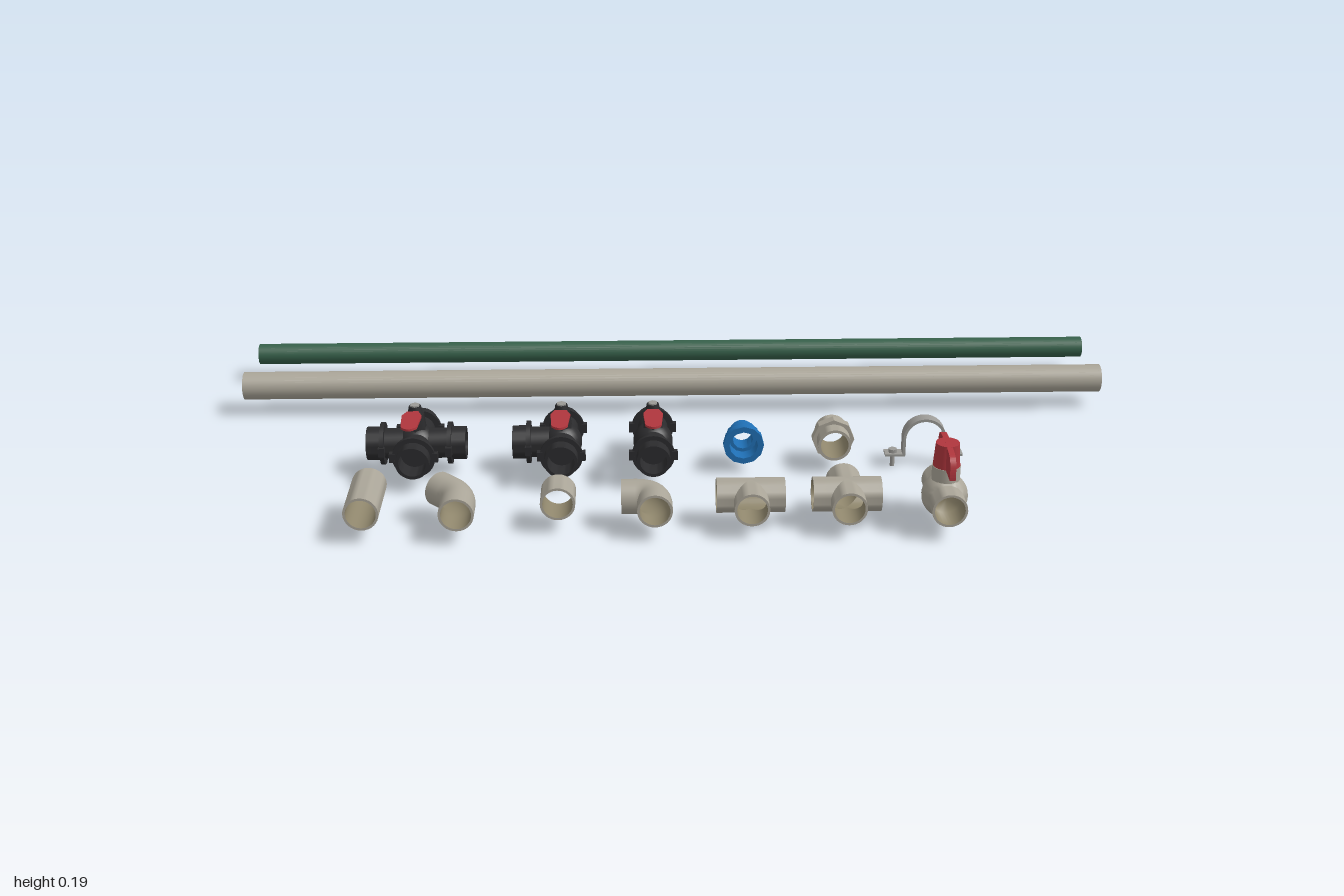
import * as THREE from 'three';
import { toCreasedNormals } from 'three/addons/utils/BufferGeometryUtils.js';

const mat = (name, color, side = THREE.FrontSide) => {
  const m = new THREE.MeshStandardMaterial({ color, side });
  m.name = name;
  return m;
};
const Y = 0.069;        // common centre height
const R = 0.036, RI = 0.031; // fitting radii
const HALF = Math.PI / 2;

export function createModel() {
  const plastic = mat('grey plastic', 0xaaa598);
  const inside = mat('socket interior', 0x8f866c, THREE.DoubleSide);
  const green = mat('green pipe', 0x36604a, THREE.DoubleSide);
  const black = mat('black plastic', 0x2b2b2d);
  const red = mat('red handle', 0xb0363d);
  const blue = mat('blue plastic', 0x1f6fb4);
  const steel = mat('steel', 0x9b9a96);

  const model = new THREE.Group();
  const group = (name, x, z, y = Y) => {
    const g = new THREE.Group();
    g.name = name;
    g.position.set(x, y, z);
    model.add(g);
    return g;
  };
  const add = (parent, name, geo, material, x = 0, y = 0, z = 0) => {
    const m = new THREE.Mesh(geo, material);
    m.name = name;
    m.position.set(x, y, z);
    parent.add(m);
    return m;
  };
  // Turned part whose axis runs along z; profile is [radius, z] pairs
  const turned = (pts, seg = 32) => {
    const g = new THREE.LatheGeometry(pts.map(p => new THREE.Vector2(...p)), seg);
    g.rotateX(HALF);
    return g;
  };
  const crease = g => toCreasedNormals(g, 0.6);

  // Long pipes
  const pipe = (name, r, z, material) => {
    const g = new THREE.CylinderGeometry(r, r, 2, 32, 1, true);
    g.rotateZ(HALF);
    add(model, name, g, material, 0, Y, z);
  };
  pipe('greyPipe', 0.032, -0.232, plastic);
  pipe('greenPipe', 0.0245, -0.427, green);

  // Straight couplings
  const coupling = (name, x, z, len) => {
    const g = group(name, x, z), h = len / 2;
    add(g, 'sleeve', crease(turned([[RI, -h], [R, -h], [R, h], [RI, h]])), plastic);
    add(g, 'bore', turned([[RI, h], [RI, -h]]), inside);
  };
  coupling('longCoupling', -0.643, 0.359, 0.14);
  coupling('shortCoupling', -0.25, 0.361, 0.065);

  // Elbows: straight, bend, straight
  const elbow = (name, x, z, angle, len1, len2, bend) => {
    const g = group(name, x, z);
    const d = new THREE.Vector3(Math.sin(angle), 0, Math.cos(angle));
    const f = new THREE.Vector3(0, 0, 1), o = new THREE.Vector3();
    const at = (v, s) => v.clone().multiplyScalar(s);
    const path = new THREE.CurvePath();
    path.add(new THREE.LineCurve3(at(f, len1), at(f, bend)));
    path.add(new THREE.QuadraticBezierCurve3(at(f, bend), o, at(d, bend)));
    path.add(new THREE.LineCurve3(at(d, bend), at(d, len2)));
    add(g, 'bend', new THREE.TubeGeometry(path, 40, R, 32), plastic);
    add(g, 'bore', new THREE.TubeGeometry(path, 40, RI, 32), inside);
    [[f, len1, 0], [d, len2, angle]].forEach(([v, l, a]) => {
      const rim = add(g, 'rim', new THREE.RingGeometry(RI, R, 32), plastic);
      rim.position.copy(at(v, l));
      rim.rotation.y = a;
    });
  };
  elbow('shallowElbow', -0.452, 0.36, -Math.PI * 0.75, 0.077, 0.064, 0.03);
  elbow('rightAngleElbow', -0.053, 0.361, -HALF, 0.069, 0.068, 0.04);

  // Tee and cross: arms (in quarter turns) mitred where they meet a neighbour
  const junction = (name, x, z, arms) => {
    const g = group(name, x, z);
    arms.forEach(q => {
      const left = arms.includes((q + 1) % 4), right = arms.includes((q + 3) % 4);
      const mitre = geo => {
        const p = geo.attributes.position;
        for (let i = 0; i < p.count; i++) {
          const u = p.getX(i);
          if (p.getZ(i) < 1e-4 && (u > 0 ? left : right)) p.setZ(i, Math.abs(u));
        }
        return geo;
      };
      const arm = new THREE.Group();
      arm.name = 'arm';
      arm.rotation.y = q * HALF;
      g.add(arm);
      add(arm, 'sleeve', crease(mitre(turned([[R, 0], [R, 0.07], [RI, 0.07]]))), plastic);
      add(arm, 'bore', mitre(turned([[RI, 0.07], [RI, 0]])), inside);
    });
  };
  junction('tee', 0.143, 0.36, [0, 1, 3]);
  junction('cross', 0.34, 0.36, [0, 1, 2, 3]);

  // Ball valve with wing handle
  const valve = group('ballValve', 0.54, 0.368);
  add(valve, 'body', crease(turned([[RI, -0.075], [R, -0.075], [R, -0.032], [0.042, -0.024],
    [0.046, -0.012], [0.0475, 0], [0.046, 0.012], [0.042, 0.024], [R, 0.032], [R, 0.075], [RI, 0.075]])), plastic);
  add(valve, 'bore', turned([[RI, 0.075], [RI, 0.02], [0, 0.02]]), inside);
  add(valve, 'bore', turned([[0, -0.02], [RI, -0.02], [RI, -0.075]]), inside);
  add(valve, 'stem', new THREE.CylinderGeometry(0.029, 0.029, 0.05, 24), plastic, 0, 0.043, 0);
  add(valve, 'hub', new THREE.CylinderGeometry(0.024, 0.028, 0.052, 24), red, 0, 0.092, 0);
  const wing = new THREE.Shape();
  wing.moveTo(-0.077, 0.069);
  wing.lineTo(0.077, 0.069);
  wing.quadraticCurveTo(0.078, 0.11, 0.056, 0.115);
  wing.quadraticCurveTo(0, 0.122, -0.056, 0.115);
  wing.quadraticCurveTo(-0.078, 0.11, -0.077, 0.069);
  const wingGeo = new THREE.ExtrudeGeometry(wing, { depth: 0.012, bevelEnabled: false });
  wingGeo.translate(0, 0, -0.006);
  wingGeo.rotateY(HALF);
  add(valve, 'wingHandle', wingGeo, red);

  // Lever grip outline, lying flat and pointing forward
  const grip = new THREE.Shape();
  grip.moveTo(-0.012, -0.04);
  grip.lineTo(0.012, -0.04);
  grip.lineTo(0.021, -0.062);
  grip.lineTo(0.017, -0.12);
  grip.quadraticCurveTo(0, -0.146, -0.017, -0.12);
  grip.lineTo(-0.021, -0.062);
  const gripGeo = new THREE.ExtrudeGeometry(grip, { depth: 0.005, bevelEnabled: false });
  gripGeo.rotateX(-HALF);

  // Black lever valves with coupled arms
  const leverValve = (name, x, arms) => {
    const g = group(name, x, 0.092);
    add(g, 'core', new THREE.SphereGeometry(0.043, 28, 18), black);
    arms.forEach(q => {
      const arm = new THREE.Group();
      arm.name = 'coupledArm';
      arm.rotation.y = q * HALF;
      g.add(arm);
      add(arm, 'coupler', crease(turned([[0.033, 0], [0.033, 0.068], [0.046, 0.068], [0.046, 0.077],
        [0.036, 0.077], [0.036, 0.107], [0.029, 0.107], [0.029, 0.06], [0, 0.06]])), black);
      [-1, 1].forEach(s => add(arm, 'lug', new THREE.BoxGeometry(0.012, 0.02, 0.014), black, s * 0.046, 0, 0.072));
    });
    add(g, 'bonnet', new THREE.CylinderGeometry(0.02, 0.024, 0.035, 6), black, 0, 0.053, 0);
    add(g, 'stem', new THREE.CylinderGeometry(0.013, 0.017, 0.02, 16), black, 0, 0.078, 0);
    add(g, 'nut', new THREE.CylinderGeometry(0.011, 0.011, 0.005, 6), steel, 0, 0.0885, 0);
    add(g, 'leverBase', new THREE.BoxGeometry(0.024, 0.004, 0.036), steel, 0, 0.071, 0.008);
    const neck = add(g, 'leverNeck', new THREE.BoxGeometry(0.022, 0.004, 0.031), steel, 0, 0.0805, 0.034);
    neck.rotation.x = -0.72;
    add(g, 'leverGrip', gripGeo, red, 0, 0.088, 0);
  };
  leverValve('fourWayLeverValve', -0.565, [0, 1, 2, 3]);
  leverValve('threeWayLeverValve', -0.25, [0, 2, 3]);
  leverValve('twoWayLeverValve', -0.053, [0, 2]);

  // Blue adapter: hexagonal collar with narrow spigot
  const adapter = group('adapter', 0.143, 0.086);
  add(adapter, 'spigot', crease(turned([[0.022, -0.038], [0.027, -0.038], [0.028, 0]])), blue);
  add(adapter, 'collar', crease(turned([[0.022, -0.01], [0.037, -0.01], [0.038, 0.02], [0.044, 0.02],
    [0.044, 0.037], [0.031, 0.037], [0.03, 0.005], [0.022, 0.005], [0.022, -0.038]], 12)), blue);

  // Union with octagonal nut
  const union = group('union', 0.34, 0.086);
  add(union, 'sleeve', crease(turned([[0.03, -0.042], [R, -0.042], [R, 0.042], [0.03, 0.042]])), plastic);
  add(union, 'bore', turned([[0.03, 0.042], [0.03, -0.042]]), inside);
  add(union, 'nut', crease(turned([[0.034, -0.011], [0.046, -0.011], [0.046, 0.011], [0.034, 0.011]], 8)), plastic);

  // Saddle clamp: arched strap with feet and bolts
  const clamp = group('saddleClamp', 0.54, 0.086);
  const strap = new THREE.Shape();
  strap.moveTo(-0.085, -0.036);
  strap.lineTo(-0.047, -0.036);
  strap.lineTo(-0.047, 0);
  strap.absarc(0, 0, 0.047, Math.PI, 0, true);
  strap.lineTo(0.047, -0.036);
  strap.lineTo(0.085, -0.036);
  strap.lineTo(0.085, -0.041);
  strap.lineTo(0.041, -0.041);
  strap.lineTo(0.041, 0);
  strap.absarc(0, 0, 0.041, 0, Math.PI, false);
  strap.lineTo(-0.041, -0.041);
  strap.lineTo(-0.085, -0.041);
  const strapGeo = new THREE.ExtrudeGeometry(strap, { depth: 0.028, bevelEnabled: false, curveSegments: 24 });
  strapGeo.translate(0, 0, -0.014);
  add(clamp, 'strap', strapGeo, steel);
  [-1, 1].forEach(s => {
    add(clamp, 'bolt', new THREE.CylinderGeometry(0.005, 0.005, 0.036, 12), steel, s * 0.067, -0.051, 0);
    add(clamp, 'boltHead', new THREE.CylinderGeometry(0.01, 0.01, 0.008, 6), steel, s * 0.067, -0.032, 0);
  });

  return model;
}
